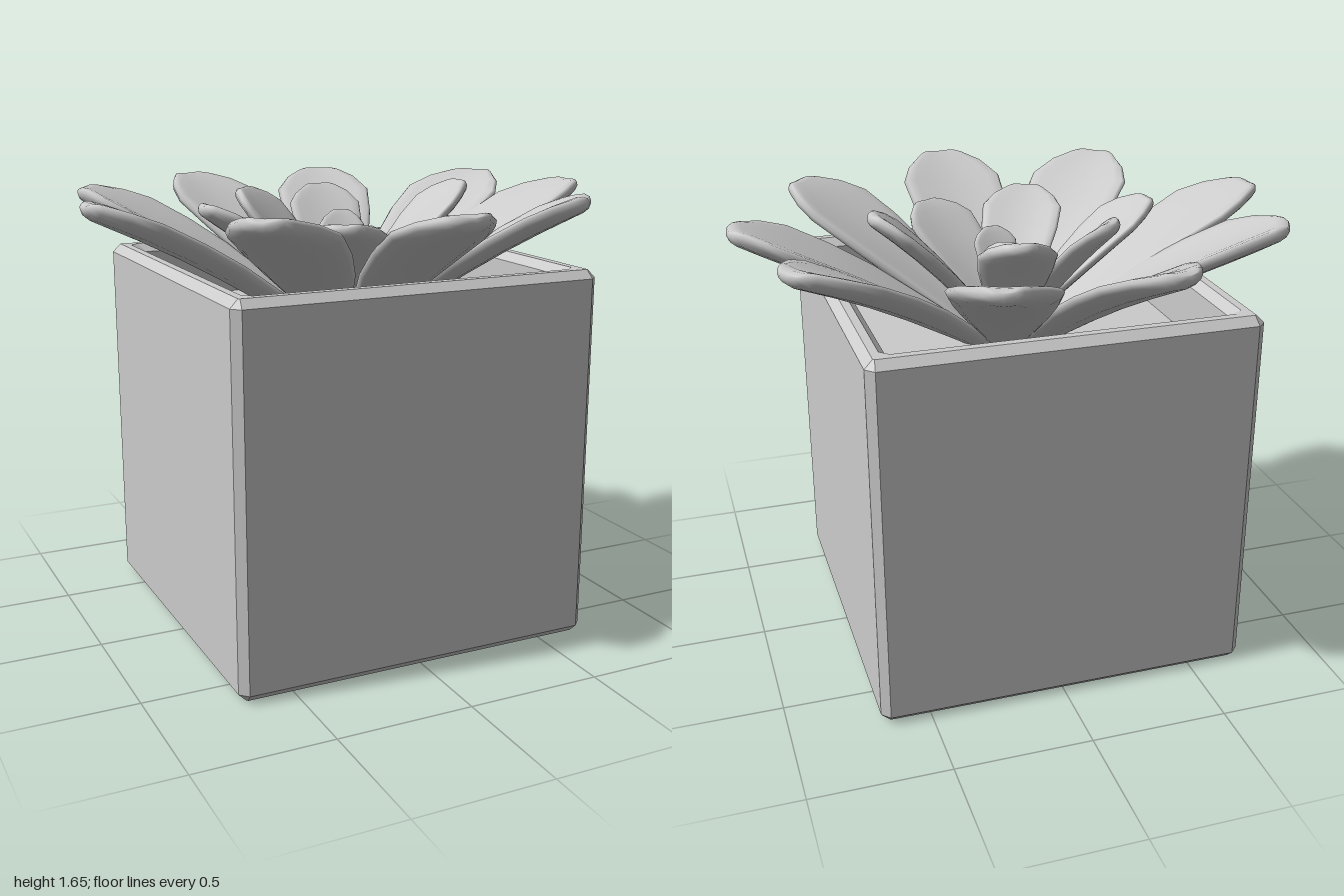
import * as THREE from 'three';

// Skin a list of equal-sized point loops and close both ends with fans
function loft(loops) {
  const n = loops[0].length, pos = [], idx = [];
  loops.forEach(loop => loop.forEach(p => pos.push(p.x, p.y, p.z)));
  for (let i = 0; i < loops.length - 1; i++) {
    for (let j = 0; j < n; j++) {
      const a = i * n + j, b = i * n + (j + 1) % n;
      idx.push(a, a + n, b, b, a + n, b + n);
    }
  }
  [0, loops.length - 1].forEach((i, end) => {
    const c = new THREE.Vector3();
    loops[i].forEach(p => c.addScaledVector(p, 1 / n));
    const k = pos.length / 3;
    pos.push(c.x, c.y, c.z);
    for (let j = 0; j < n; j++) {
      const a = i * n + j, b = i * n + (j + 1) % n;
      if (end) idx.push(k, b, a); else idx.push(k, a, b);
    }
  });
  const g = new THREE.BufferGeometry();
  g.setAttribute('position', new THREE.Float32BufferAttribute(pos, 3));
  g.setIndex(idx);
  g.computeVertexNormals();
  return g;
}

// Square loop with cut corners, at height y
function squareLoop(half, cut, y) {
  const k = half - cut;
  return [[half, -k], [half, k], [k, half], [-k, half], [-half, k], [-half, -k], [-k, -half], [k, -half]]
    .map(([x, z]) => new THREE.Vector3(x - 0.01, y, z - 0.02));
}

// Leaf outline: [position along leaf, width share, thickness share]
const OUTLINE = [
  [0, 0.2, 0.6], [0.2, 0.46, 0.9], [0.45, 0.82, 1], [0.62, 0.96, 1], [0.78, 1, 1],
  [0.88, 0.78, 1], [0.96, 0.46, 0.95], [0.985, 0.34, 0.75], [1, 0.2, 0.3],
];
const SIDES = 16;

// Cupped leaf running outward and upward from the centre
function leafGeometry({ angle, reach, tipY, halfWidth, rootR, rootY, thick }) {
  const a = THREE.MathUtils.degToRad(angle);
  const out = new THREE.Vector3(Math.cos(a), 0, Math.sin(a));
  const side = new THREE.Vector3(-Math.sin(a), 0, Math.cos(a));
  const up = new THREE.Vector3(0, 1, 0);
  const rise = tipY - rootY, run = reach - rootR;
  const loops = OUTLINE.map(([t, w, h]) => {
    const slope = rise * (1.25 - 0.5 * t) / run;
    const normal = up.clone().addScaledVector(out, -slope).normalize();
    const mid = out.clone().multiplyScalar(rootR + run * t);
    mid.y = rootY + rise * t * (1.25 - 0.25 * t);
    return Array.from({ length: SIDES }, (_, j) => {
      const f = j / SIDES * Math.PI * 2, c = Math.cos(f), s = Math.sin(f);
      const u = Math.sign(c) * Math.abs(c) ** 0.8;
      const v = Math.sign(s) * Math.abs(s) ** 0.7;
      return mid.clone()
        .addScaledVector(side, u * w * halfWidth)
        .addScaledVector(normal, v * h * thick + 0.2 * u * u * w * halfWidth);
    });
  });
  return loft(loops);
}

// Rings of leaves: [angle, reach, tip height, half width]
const RINGS = [
  { name: 'outerLeaf', rootR: 0.08, rootY: 1.1, thick: 0.032, leaves: [
    [1, 1, 1.62, 0.2], [-30, 1.01, 1.62, 0.21], [-72, 0.91, 1.62, 0.19],
    [-110, 0.94, 1.62, 0.2], [-150, 1, 1.62, 0.21], [177, 1, 1.62, 0.19],
    [131, 0.93, 1.62, 0.2], [88, 0.89, 1.62, 0.2], [41, 0.9, 1.62, 0.2]] },
  { name: 'innerLeaf', rootR: 0.04, rootY: 1.16, thick: 0.026, leaves: [
    [-1, 0.51, 1.64, 0.14], [-79, 0.42, 1.61, 0.14], [-137, 0.42, 1.62, 0.16],
    [175, 0.58, 1.6, 0.14], [115, 0.55, 1.56, 0.155], [64, 0.48, 1.55, 0.15]] },
  { name: 'heartLeaf', rootR: 0.01, rootY: 1.22, thick: 0.02, leaves: [
    [-70, 0.16, 1.54, 0.085], [84, 0.17, 1.51, 0.085]] },
];

export function createModel() {
  const model = new THREE.Group();
  const smooth = new THREE.MeshStandardMaterial({ color: 0xcccccc });
  const flat = new THREE.MeshStandardMaterial({ color: 0xcccccc, flatShading: true });
  const add = (name, geometry, material, parent) => {
    const mesh = new THREE.Mesh(geometry, material);
    mesh.name = name;
    parent.add(mesh);
  };

  // Bevelled cube planter with a hollow top: [half size, corner cut, height]
  const planter = [
    [0.66, 0.005, 0], [0.69, 0.03, 0.03], [0.69, 0.03, 1.355], [0.66, 0.005, 1.385],
    [0.63, 0.03, 1.385], [0.6, 0.03, 1.355], [0.6, 0.03, 1.14],
  ].map(p => squareLoop(...p));
  add('planter', loft(planter), flat, model);

  // Soil filling the planter
  add('soil', loft([squareLoop(0.6, 0.03, 1.13), squareLoop(0.6, 0.03, 1.17)]), flat, model);

  // Rosette of leaves
  const rosette = new THREE.Group();
  rosette.name = 'rosette';
  model.add(rosette);
  for (const { name, leaves, ...root } of RINGS) {
    leaves.forEach(([angle, reach, tipY, halfWidth], i) => {
      const geometry = leafGeometry({ angle, reach, tipY, halfWidth, ...root });
      add(name + (i + 1), geometry, smooth, rosette);
    });
  }
  return model;
}
